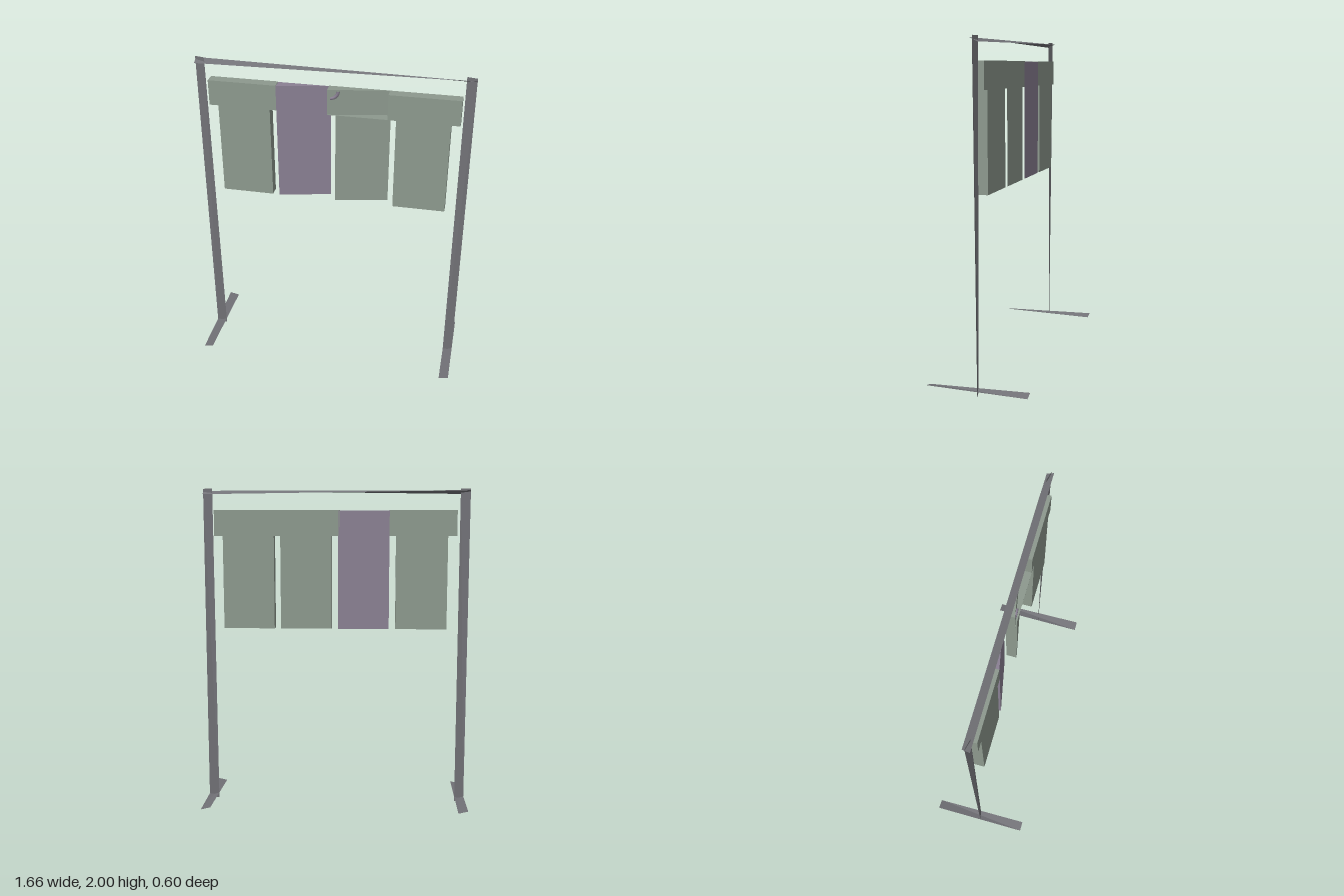
import * as THREE from 'three';

const mat = (name, color, side = THREE.FrontSide) => {
  const m = new THREE.MeshStandardMaterial({ color, side });
  m.name = name;
  return m;
};

export function createModel() {
  const group = new THREE.Group();
  const grey = mat('steel grey', 0x727277, THREE.DoubleSide);
  const green = mat('sage green', 0x8d998e);
  const purple = mat('dusty purple', 0x8a8093);

  const add = (name, geometry, material) => {
    const mesh = new THREE.Mesh(geometry, material);
    mesh.name = name;
    group.add(mesh);
    return mesh;
  };

  // Thin strip through four corners, split along the a-c diagonal
  const strip = (name, a, b, c, d) => {
    const g = new THREE.BufferGeometry();
    g.setAttribute('position', new THREE.Float32BufferAttribute([a, b, c, a, c, d].flat(), 3));
    g.computeVertexNormals();
    return add(name, g, grey);
  };

  // Upright prism: plan outline of [x, z] points, extruded from y0 to y1
  const prism = (name, plan, y0, y1, material) => {
    const shape = new THREE.Shape(plan.map(([x, z]) => new THREE.Vector2(x, -z)));
    const g = new THREE.ExtrudeGeometry(shape, { depth: y1 - y0, bevelEnabled: false });
    g.rotateX(-Math.PI / 2).translate(0, y0, 0);
    return add(name, g, material);
  };

  const BACK = -0.035, FRONT = 0.031;
  const boxPlan = (x0, x1) => [[x0, FRONT], [x1, FRONT], [x1, BACK], [x0, BACK]];
  const wedgePlan = (x0, x1) => [[x0, FRONT], [x1, BACK], [x0, BACK]];

  // Frame: posts and feet on both sides
  for (const s of [-1, 1]) {
    const side = s > 0 ? 'left' : 'right';
    const x0 = s * 0.8 - 0.03, x1 = s * 0.8 + 0.03;
    strip(side + 'Post', [x0, 0, 0.007], [x1, 0, -0.007], [x1, 2, 0.007], [x0, 2, -0.007]);
    strip(side + 'Foot', [x0, 0.022, 0.3], [x1, 0.036, 0.3], [x1, 0.022, -0.3], [x0, 0.036, -0.3]);
  }

  // Twisted flat rail across the top
  strip('topRail', [-0.83, 1.988, -0.021], [-0.83, 1.966, 0.021], [0.83, 1.988, 0.021], [0.83, 1.966, -0.021]);

  // Outer hanging panels: wide header with a narrower drop
  const TOP = 1.868, HEAD = 1.71, LOW = 1.13;
  prism('rightHeader', boxPlan(-0.75, -0.334), HEAD, TOP, green);
  prism('rightPanel', boxPlan(-0.695, -0.375), LOW, HEAD, green);
  prism('leftHeader', boxPlan(0.335, 0.758), HEAD, TOP, green);
  prism('leftPanel', boxPlan(0.385, 0.705), LOW, HEAD, green);

  // Inner panels taper towards the back on one side
  prism('purplePanel', wedgePlan(-0.334, -0.015), LOW, TOP - 0.003, purple);
  prism('innerPanel', wedgePlan(0.025, 0.345), LOW, HEAD, green);
  prism('innerHeader', wedgePlan(-0.025, 0.335), HEAD, TOP, green);
  prism('innerHeaderBase', boxPlan(-0.025, 0.335), HEAD - 0.001, HEAD + 0.001, green);

  // Small curved hook at the corner of the purple panel
  const hook = add('hook', new THREE.TorusGeometry(0.048, 0.01, 6, 8, Math.PI / 2), purple);
  hook.rotation.z = -Math.PI / 2;
  hook.position.set(-0.008, 1.862, 0.024);

  return group;
}
